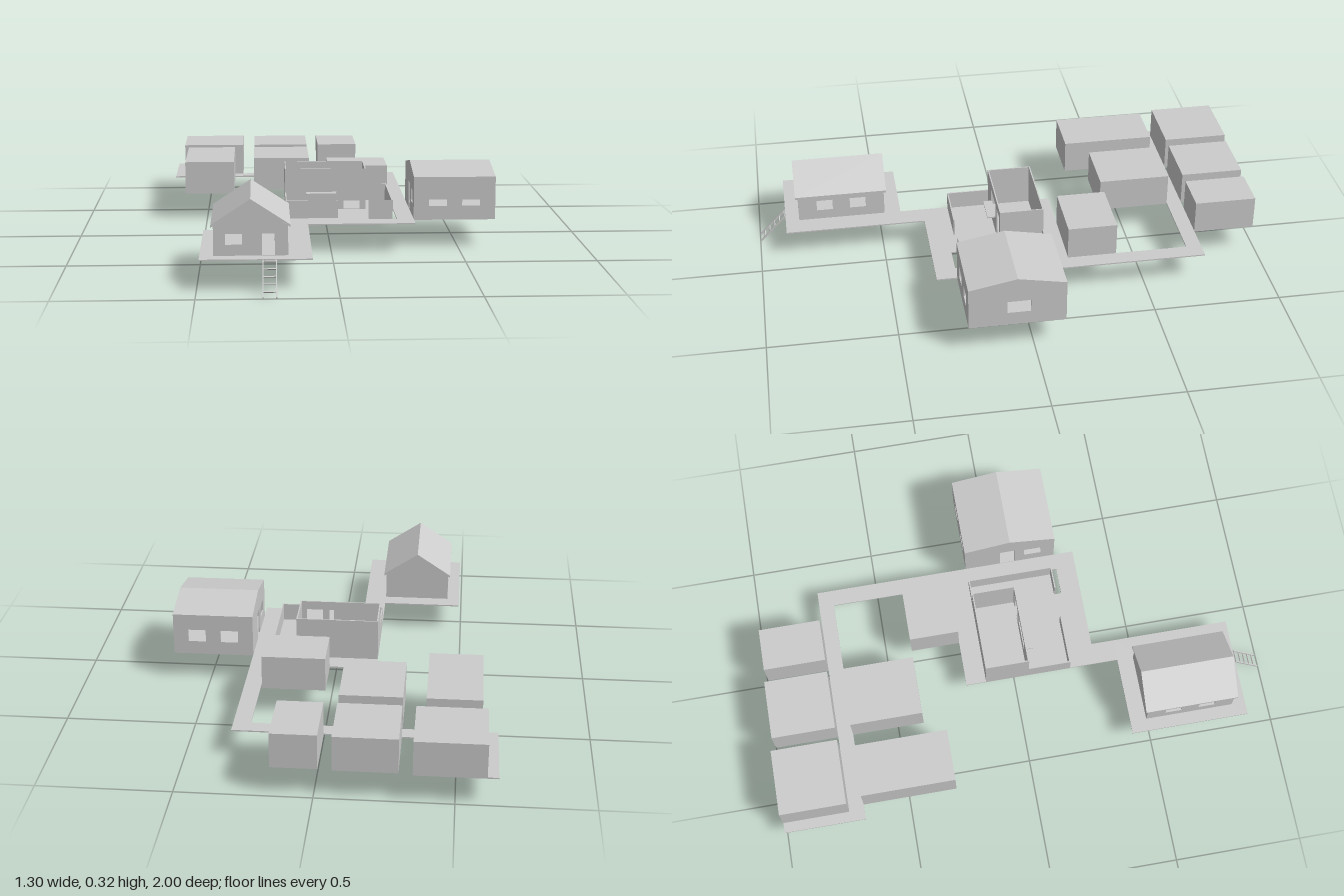
import * as THREE from 'three';

const mat = new THREE.MeshStandardMaterial({ color: 0xcccccc, flatShading: true, side: THREE.DoubleSide });
const GROUND = 0.115; // height of the deck surface
const T = 0.005;      // wall and deck thickness

function add(parent, name, geo, x = 0, y = 0, z = 0) {
  const m = new THREE.Mesh(geo, mat);
  m.name = name;
  m.position.set(x, y, z);
  parent.add(m);
  return m;
}

// box given by its plan rectangle and its bottom and top heights
function block(parent, name, x0, x1, z0, z1, y0, y1) {
  return add(parent, name, new THREE.BoxGeometry(x1 - x0, y1 - y0, z1 - z0),
    (x0 + x1) / 2, (y0 + y1) / 2, (z0 + z1) / 2);
}

// thin upright wall centred on x and z, with an optional peak and openings [x0, x1, y0, y1]
function wallGeometry(w, h, openings = [], peak = 0) {
  const s = new THREE.Shape();
  s.moveTo(-w / 2, 0).lineTo(w / 2, 0).lineTo(w / 2, h);
  if (peak) s.lineTo(0, peak);
  s.lineTo(-w / 2, h).closePath();
  for (const [x0, x1, y0, y1] of openings) {
    const p = new THREE.Path();
    p.moveTo(x0, y0).lineTo(x0, y1).lineTo(x1, y1).lineTo(x1, y0).closePath();
    s.holes.push(p);
  }
  return new THREE.ExtrudeGeometry(s, { depth: T, bevelEnabled: false }).translate(0, 0, -T / 2);
}

// gabled house with its ridge along local z
function gabledHouse(o) {
  const g = new THREE.Group();
  g.name = o.name;
  const { W, L, h, peak, span, eave, ridge, thick, over } = o;
  add(g, 'frontGable', wallGeometry(W, h, o.front, peak), 0, 0, L / 2 - T / 2);
  add(g, 'backGable', wallGeometry(W, h, o.back, peak), 0, 0, -L / 2 + T / 2);
  for (const s of [1, -1]) {
    const side = add(g, s > 0 ? 'leftWall' : 'rightWall',
      wallGeometry(L - 2 * T, h, s > 0 ? o.left : o.right), s * (W / 2 - T / 2), 0, 0);
    side.rotation.y = s * Math.PI / 2;
  }
  const r = new THREE.Shape();
  r.moveTo(-span, eave - thick).lineTo(0, ridge - thick).lineTo(span, eave - thick)
    .lineTo(span, eave).lineTo(0, ridge).lineTo(-span, eave).closePath();
  const len = L + 2 * over;
  add(g, 'roof', new THREE.ExtrudeGeometry(r, { depth: len, bevelEnabled: false }), 0, 0, -len / 2);
  return g;
}

export function createModel() {
  const model = new THREE.Group();

  // decks and walkways: [name, x0, x1, z0, z1]
  const decks = [
    ['houseDeck', -0.49, -0.09, 0.42, 0.89],
    ['houseWalkway', -0.175, -0.09, 0.33, 0.42],
    ['centreDeck', -0.175, 0.245, -0.2, 0.225],
    ['centreDeckFront', -0.175, 0.15, 0.225, 0.33],
    ['frontWalkway', 0.15, 0.26, 0.25, 0.33],
    ['centreDeckBack', 0.245, 0.26, -0.2, -0.12],
    ['sideWalkway', 0.26, 0.325, -0.68, 0.33],
    ['backWalkway', -0.65, 0.325, -0.74, -0.68],
    ['backCornerDeck', -0.65, -0.35, -1, -0.74],
    ['gableHouseFloor', 0.325, 0.645, -0.12, 0.25],
  ];
  for (const [n, ...r] of decks) block(model, n, ...r, GROUND - T, GROUND);

  // plain flat-roofed huts
  const huts = [
    [-0.61, -0.35, -1, -0.74], [-0.3, -0.065, -0.99, -0.74], [-0.015, 0.155, -0.985, -0.74],
    [-0.59, -0.385, -0.68, -0.31], [-0.3, -0.065, -0.68, -0.395], [0.01, 0.255, -0.395, -0.2],
  ];
  for (const r of huts) block(model, 'hut', ...r, GROUND - T, 0.245);

  // house beside the ladder
  const pair = [[-0.1, -0.035, 0.04, 0.085], [0.035, 0.1, 0.04, 0.085]];
  const ladderHouse = gabledHouse({
    name: 'ladderHouse', W: 0.265, L: 0.35, h: 0.107, peak: 0.196,
    span: 0.141, eave: 0.113, ridge: 0.206, thick: 0.009, over: 0.01,
    front: [[-0.09, -0.03, 0.04, 0.085], [0.04, 0.085, 0.002, 0.09]],
    left: pair, right: pair,
  });
  ladderHouse.position.set(-0.308, GROUND, 0.66);
  model.add(ladderHouse);

  // larger house with its ridge along x
  const gableHouse = gabledHouse({
    name: 'gableHouse', W: 0.37, L: 0.32, h: 0.16, peak: 0.195,
    span: 0.185, eave: 0.165, ridge: 0.2, thick: 0.006, over: 0,
    front: [[-0.04, 0.05, 0.05, 0.1]],
    back: [[-0.02, 0.04, 0.002, 0.11], [-0.13, -0.06, 0.05, 0.1]],
    left: [[-0.1, -0.03, 0.05, 0.1], [0.03, 0.1, 0.05, 0.1]],
    right: [[-0.1, -0.03, 0.05, 0.1], [0.03, 0.1, 0.05, 0.1]],
  });
  gableHouse.rotation.y = Math.PI / 2;
  gableHouse.position.set(0.485, GROUND, 0.065);
  model.add(gableHouse);

  // roofless central room
  const room = new THREE.Group();
  room.name = 'openRoom';
  model.add(room);
  const top = 0.28;
  block(room, 'backWall', -0.175, 0.15, -0.12, -0.12 + T, GROUND, top);
  block(room, 'rightWall', -0.175, -0.175 + T, -0.12 + T, 0.055 - T, GROUND, top);
  block(room, 'leftWall', 0.15 - T, 0.15, -0.12 + T, 0.055 - T, GROUND, top);
  add(room, 'frontWall', wallGeometry(0.325, top - GROUND,
    [[-0.075, 0.045, 0.07, 0.13], [0.0725, 0.1375, 0.002, 0.13]]), -0.0125, GROUND, 0.055 - T / 2);
  block(room, 'windowCounter', -0.09, 0.03, 0.055, 0.087, 0.18, 0.185);

  // low walls of the yard
  const low = 0.185;
  const yard = [
    [-0.175, 0.03, 0.225 - T, 0.225], [0.15, 0.245, 0.225 - T, 0.225],
    [-0.175, -0.175 + T, 0.055, 0.225 - T], [0.245 - T, 0.245, -0.12, 0.225 - T],
    [0.15, 0.245 - T, -0.12, -0.12 + T],
  ];
  for (const r of yard) block(room, 'yardWall', ...r, GROUND, low);

  // sloping ladder
  const ladder = new THREE.Group();
  ladder.name = 'ladder';
  const rise = GROUND - 0.006, run = 0.105, len = Math.hypot(rise, run);
  for (const x of [-0.0235, 0.0235]) add(ladder, 'ladderRail', new THREE.BoxGeometry(0.004, len, 0.007), x, 0, 0);
  for (let i = 0; i < 5; i++) {
    add(ladder, 'ladderRung', new THREE.BoxGeometry(0.045, 0.004, 0.005), 0, len * ((i + 0.8) / 5 - 0.5), 0);
  }
  ladder.rotation.x = -Math.atan2(run, rise);
  ladder.position.set(-0.242, GROUND / 2, 0.944);
  model.add(ladder);

  return model;
}
